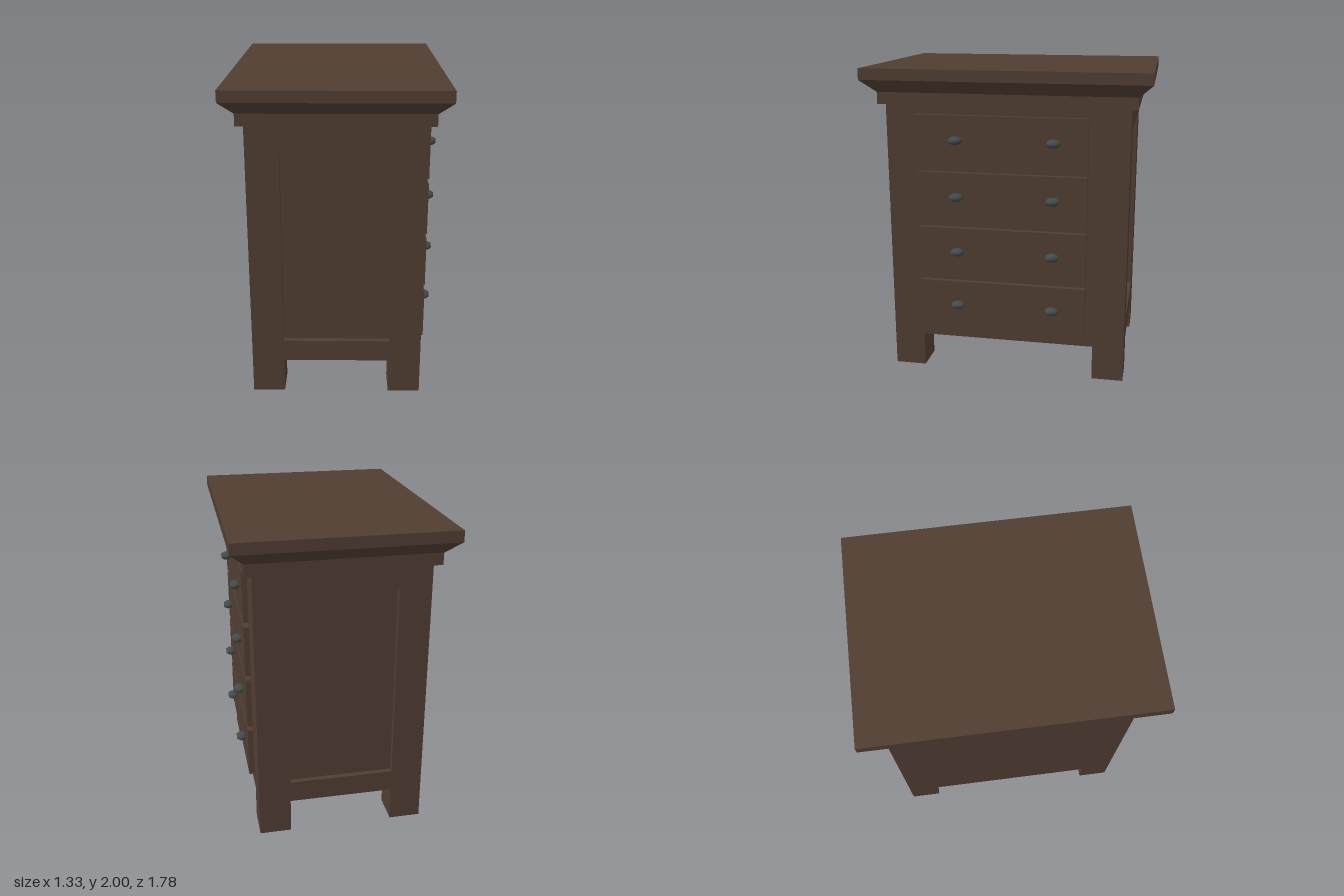
import * as THREE from 'three';

const wood = new THREE.MeshStandardMaterial({ color: 0x503d32 });
const metal = new THREE.MeshStandardMaterial({ color: 0x444a4b });

// Main half sizes and heights
const BX = 0.537, BZ = 0.768, BASE = 0.225, BODY_TOP = 1.775, RECESS = 0.035, LEG = 0.202;

export function createModel() {
  const group = new THREE.Group();

  const add = (name, geometry, material = wood) => {
    const mesh = new THREE.Mesh(geometry, material);
    mesh.name = name;
    group.add(mesh);
    return mesh;
  };
  const box = (name, x0, x1, y0, y1, z0, z1) => {
    const mesh = add(name, new THREE.BoxGeometry(x1 - x0, y1 - y0, z1 - z0));
    mesh.position.set((x0 + x1) / 2, (y0 + y1) / 2, (z0 + z1) / 2);
    return mesh;
  };

  // Carcass between the two panelled ends
  box('carcass', -BX, BX, BASE, BODY_TOP, -BZ + RECESS, BZ - RECESS);

  // End frames, each open around a recessed panel
  const frame = new THREE.Shape([
    new THREE.Vector2(-BX, BASE), new THREE.Vector2(BX, BASE),
    new THREE.Vector2(BX, BODY_TOP), new THREE.Vector2(-BX, BODY_TOP),
  ]);
  frame.holes.push(new THREE.Path([
    new THREE.Vector2(-0.335, 0.365), new THREE.Vector2(-0.335, 1.63),
    new THREE.Vector2(0.335, 1.63), new THREE.Vector2(0.335, 0.365),
  ]));
  const frameGeometry = new THREE.ExtrudeGeometry(frame, { depth: RECESS, bevelEnabled: false });
  for (const s of [1, -1]) {
    const end = add('endFrame', frameGeometry);
    end.position.z = s * (BZ - RECESS);
    if (s < 0) end.rotation.y = Math.PI;
  }

  // Square legs at the corners
  for (const sx of [1, -1]) for (const sz of [1, -1]) {
    const leg = box('leg', -LEG / 2, LEG / 2, 0, BASE, -LEG / 2, LEG / 2);
    leg.position.x = sx * (BX - LEG / 2);
    leg.position.z = sz * (BZ - LEG / 2);
  }

  // Cornice: straight band, flared moulding, top slab
  box('corniceBand', -0.581, 0.581, BODY_TOP, 1.85, -0.807, 0.807);
  const flare = box('corniceFlare', -0.664, 0.664, 1.85, 1.93, -0.892, 0.892);
  const p = flare.geometry.attributes.position;
  for (let i = 0; i < p.count; i++) {
    if (p.getY(i) < 0) {
      p.setX(i, Math.sign(p.getX(i)) * 0.581);
      p.setZ(i, Math.sign(p.getZ(i)) * 0.807);
    }
  }
  flare.geometry.computeVertexNormals();
  box('topSlab', -0.664, 0.664, 1.93, 2, -0.892, 0.892);

  // Oval knob profile turned about the x axis
  const knobGeometry = new THREE.LatheGeometry([
    [0, -0.032], [0.6, -0.032], [1, -0.011], [1, 0.011], [0.6, 0.032], [0, 0.032],
  ].map(([r, y]) => new THREE.Vector2(r, y)), 20);
  knobGeometry.rotateZ(-Math.PI / 2);
  knobGeometry.scale(1, 0.026, 0.044);
  knobGeometry.computeVertexNormals();

  // Four drawers with two knobs each
  for (let i = 0; i < 4; i++) {
    const y = 0.297 + i * 0.3625;
    box('drawerFront', BX - 0.01, 0.57, y, y + 0.33, -0.515, 0.565);
    for (const z of [0.31, -0.305]) {
      add('drawerKnob', knobGeometry, metal).position.set(0.593, y + 0.176, z);
    }
  }

  return group;
}
